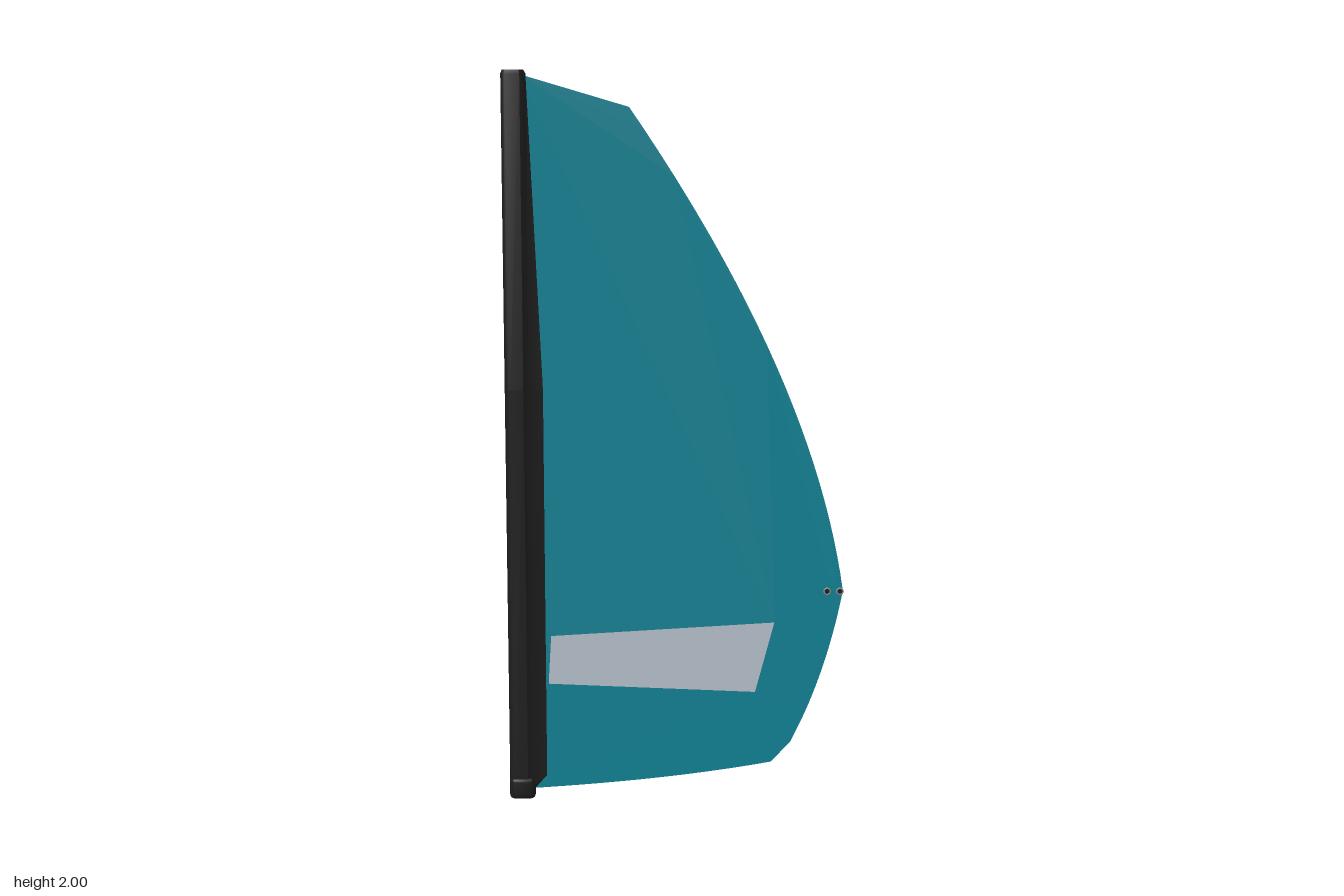
import * as THREE from 'three';
import { toCreasedNormals } from 'three/addons/utils/BufferGeometryUtils.js';

const material = (name, color, side = THREE.FrontSide) => {
  const m = new THREE.MeshStandardMaterial({ color, side });
  m.name = name;
  return m;
};

const toPoints = (list) => list.map(([x, y]) => new THREE.Vector2(x, y));

// Cross-section of the mast sleeve: round nose, flat sides, thin trailing edge
function sleeveSection(tip) {
  const r = 0.016, pts = [];
  pts.push([tip, -0.001], [-0.397, -0.007], [-0.409, -r]);
  for (let i = 0; i <= 10; i++) {
    const a = Math.PI / 2 + (i / 10) * Math.PI;
    pts.push([-0.444 + r * Math.cos(a), -r * Math.sin(a)]);
  }
  pts.push([-0.409, r], [-0.397, 0.007], [tip, 0.001]);
  return pts;
}

// Lofts the sleeve through [height, trailing edge x, scale] levels
function sleeveGeometry(levels) {
  const pos = [], idx = [], mid = -0.428;
  let n = 0;
  for (const [y, tip, s] of levels) {
    const section = sleeveSection(tip);
    n = section.length;
    for (const [x, z] of section) pos.push(mid + (x - mid) * s, y, z * s);
  }
  const last = (levels.length - 1) * n;
  for (let i = 0; i < n; i++) {
    const j = (i + 1) % n;
    for (let k = 0; k < last; k += n) {
      idx.push(k + i, k + j, k + n + j, k + i, k + n + j, k + n + i);
    }
  }
  // End caps
  const low = pos.length / 3, high = low + 1;
  pos.push(mid, levels[0][0], 0, mid, levels[levels.length - 1][0], 0);
  for (let i = 0; i < n; i++) {
    const j = (i + 1) % n;
    idx.push(low, j, i, high, last + i, last + j);
  }
  const g = new THREE.BufferGeometry();
  g.setAttribute('position', new THREE.Float32BufferAttribute(pos, 3));
  g.setIndex(idx);
  return toCreasedNormals(g, 0.6);
}

// Rounded boot at the mast base
function footGeometry() {
  const s = new THREE.Shape();
  s.absarc(-0.442, 0, 0.012, Math.PI / 2, Math.PI * 1.5, false);
  s.absarc(-0.408, 0, 0.012, -Math.PI / 2, Math.PI / 2, false);
  const g = new THREE.ExtrudeGeometry(s, {
    depth: 0.036, bevelThickness: 0.012, bevelSize: 0.007, bevelSegments: 3, curveSegments: 8,
  });
  g.rotateX(-Math.PI / 2);
  g.translate(0, 0.012, 0);
  return toCreasedNormals(g, 0.6);
}

export function createModel() {
  const group = new THREE.Group();
  const teal = material('teal cloth', 0x0e8092, THREE.DoubleSide);
  const clear = material('pale window', 0xb5bfca, THREE.DoubleSide);
  const black = material('black sleeve', 0x1c1c1d);
  const grey = material('grey metal', 0x8a9094);

  const add = (name, geometry, mat) => {
    const mesh = new THREE.Mesh(geometry, mat);
    mesh.name = name;
    group.add(mesh);
    return mesh;
  };

  const windowCorners = toPoints([[-0.35, 0.328], [0.22, 0.304], [0.272, 0.502], [-0.342, 0.464]]);
  const grommets = [0.416, 0.451];

  // Sail cloth with curved leech, cut out for the window and grommets
  const sail = new THREE.Shape();
  sail.moveTo(-0.41, 1.988);
  sail.lineTo(-0.122, 1.903);
  sail.quadraticCurveTo(0.375, 1.18, 0.459, 0.592);
  sail.quadraticCurveTo(0.415, 0.35, 0.318, 0.16);
  sail.lineTo(0.265, 0.103);
  sail.quadraticCurveTo(-0.02, 0.05, -0.41, 0.026);
  sail.closePath();
  sail.holes.push(new THREE.Path(windowCorners));
  add('sail', new THREE.ShapeGeometry(sail, 24), teal);

  // Window panel
  add('window', new THREE.ShapeGeometry(new THREE.Shape(windowCorners)), clear);

  // Mast sleeve
  add('mastSleeve', sleeveGeometry([
    [0.03, -0.388, 1], [0.065, -0.357, 1], [1.15, -0.357, 1], [1.99, -0.394, 1], [2.0, -0.396, 0.88],
  ]), black);

  // Mast foot
  add('mastFoot', footGeometry(), black);

  // Clew grommets: metal rings with dark centres
  for (const x of grommets) {
    add('grommetRing', new THREE.TorusGeometry(0.0085, 0.0022, 8, 20), grey).position.set(x, 0.59, 0);
    const core = new THREE.CylinderGeometry(0.007, 0.007, 0.002, 16).rotateX(Math.PI / 2);
    add('grommetCentre', core, black).position.set(x, 0.59, 0);
  }

  return group;
}
